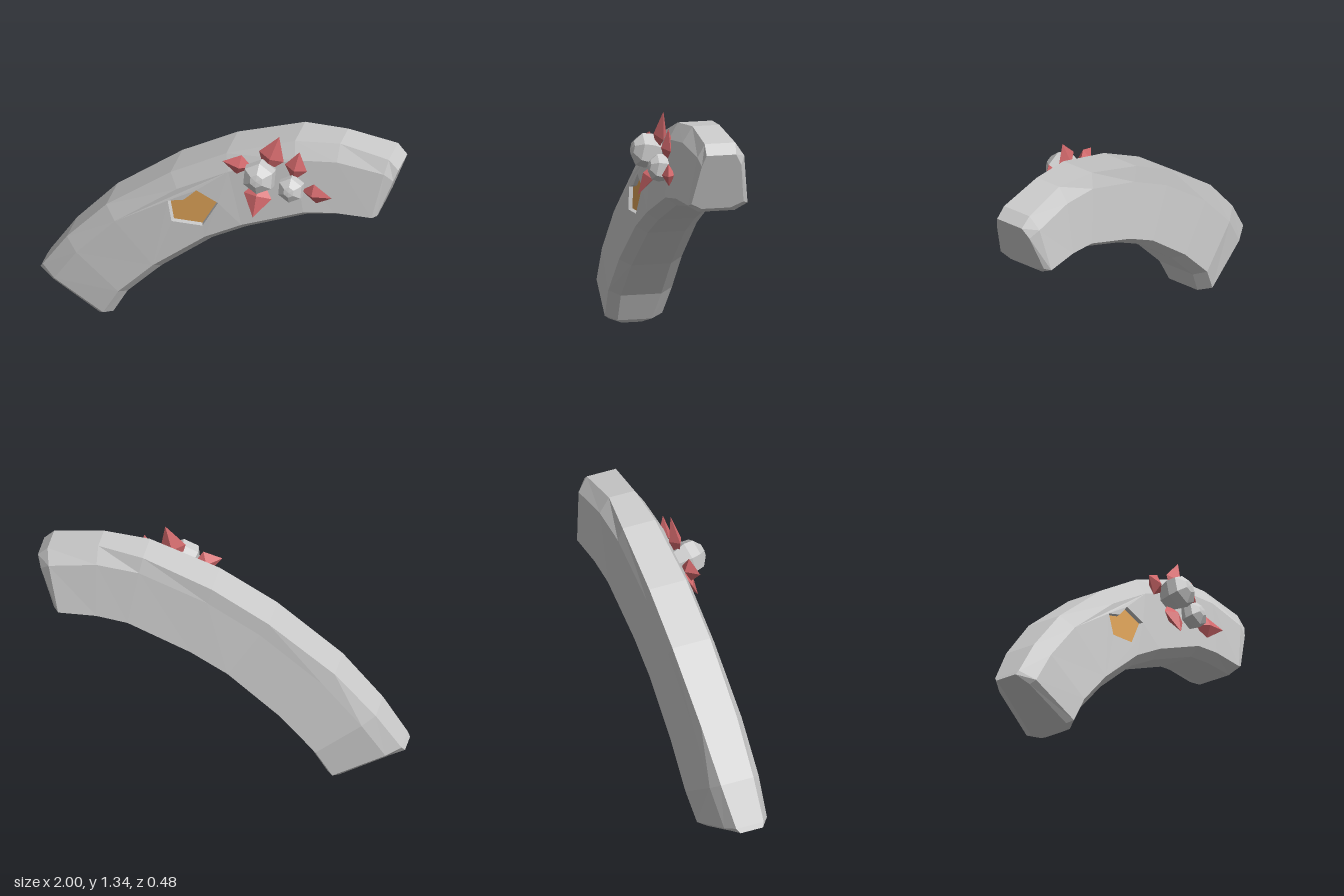
import * as THREE from 'three';

const stone = new THREE.MeshStandardMaterial({ color: 0xcbcbcb });
stone.name = 'pale stone';
const red = new THREE.MeshStandardMaterial({ color: 0xd46a6d });
red.name = 'petal red';
const amber = new THREE.MeshStandardMaterial({ color: 0xdda258 });
amber.name = 'amber';

// Faceted mesh from a list of triangle corners
function facets(name, points, material) {
  const geo = new THREE.BufferGeometry().setFromPoints(points);
  geo.computeVertexNormals();
  const mesh = new THREE.Mesh(geo, material);
  mesh.name = name;
  return mesh;
}

// Triangles facing +z that fill an outline, minus an optional hole
function fill(outline, hole = []) {
  const all = [...outline, ...hole];
  const flat = (list) => list.map((p) => new THREE.Vector2(p.x, p.y));
  const faces = THREE.ShapeUtils.triangulateShape(flat(outline), hole.length ? [flat(hole)] : []);
  return faces.flatMap(([a, b, c]) => {
    const [p, q, r] = [all[a], all[b], all[c]];
    const area = (q.x - p.x) * (r.y - p.y) - (q.y - p.y) * (r.x - p.x);
    return area > 0 ? [p, q, r] : [p, r, q];
  });
}

// Stations along the arch: outer x, y, inner x, y, front z, back z, outer front z, outer back z
const stations = [
  [-1.0, 0.2, -0.61, 0.0, 0.10, -0.14, 0.03, -0.1],
  [-0.985, 0.225, -0.58, 0.02, 0.13, -0.19, 0.04, -0.12],
  [-0.85, 0.43, -0.5, 0.17, 0.135, -0.22, 0.04, -0.15],
  [-0.63, 0.68, -0.31, 0.37, 0.13, -0.22, 0.04, -0.17],
  [-0.27, 0.96, -0.03, 0.6, 0.12, -0.22, 0.04, -0.18],
  [0.04, 1.14, 0.16, 0.705, 0.115, -0.22, 0.035, -0.18],
  [0.42, 1.285, 0.5, 0.85, 0.11, -0.225, 0.02, -0.17],
  [0.67, 1.31, 0.66, 0.875, 0.1, -0.23, 0.01, -0.14],
  [0.945, 1.265, 0.86, 0.88, 0.09, -0.24, 0.02, -0.15],
  [1.0, 1.21, 0.885, 0.9, 0.08, -0.21, 0.025, -0.14],
];

// Eight-sided bevelled cross-section, from the outer front edge round to the outer back edge
function section([ox, oy, ix, iy, zf, zb, of, ob]) {
  const at = (t, z) => new THREE.Vector3(ox + (ix - ox) * t, oy + (iy - oy) * t, z);
  return [
    at(0, of), at(0.2, zf - 0.035), at(0.9, zf), at(1, zf - 0.06),
    at(1, zb + 0.07), at(0.9, zb), at(0.2, zb + 0.035), at(0, ob),
  ];
}

function buildArch(group) {
  const rings = stations.map(section);
  const tris = [];
  for (let s = 0; s < rings.length - 1; s++) {
    for (let k = 0; k < 8; k++) {
      if (k === 1 && (s === 3 || s === 4)) continue; // left open for the pocketed panel
      const n = (k + 1) % 8;
      const [a, b, c, d] = [rings[s][k], rings[s][n], rings[s + 1][n], rings[s + 1][k]];
      tris.push(a, b, c, a, c, d);
    }
  }
  // End caps
  const first = rings[0], last = rings[rings.length - 1];
  for (let k = 1; k < 7; k++) {
    tris.push(first[0], first[k + 1], first[k]);
    tris.push(last[0], last[k], last[k + 1]);
  }

  // Front panel with a shallow pocket
  const rim = [
    [-0.27, 0.81], [-0.18, 0.835], [-0.11, 0.908], [0.015, 0.857], [-0.07, 0.7], [-0.245, 0.69],
  ].map(([x, y]) => new THREE.Vector3(x, y, 0.103 + 0.05 * (x + 0.13) - 0.085 * (y - 0.79)));
  const floor = rim.map((p) => new THREE.Vector3(
    p.x + (-0.13 - p.x) * 0.07, p.y + (0.79 - p.y) * 0.07, p.z - 0.02));
  const outline = [3, 4, 5].map((s) => rings[s][2]).concat([5, 4, 3].map((s) => rings[s][1]));
  tris.push(...fill(outline, rim));
  rim.forEach((p, i) => {
    const j = (i + 1) % rim.length;
    tris.push(p, floor[j], rim[j], p, floor[i], floor[j]);
  });
  group.add(facets('arch', tris, stone));
  group.add(facets('amberInlay', fill(floor), amber));
}

// Faceted solid of revolution laid along a direction
function crystal(name, profile, sides, material, origin, direction) {
  const lathe = new THREE.LatheGeometry(profile.map(([r, y]) => new THREE.Vector2(r, y)), sides);
  const geo = lathe.toNonIndexed();
  geo.computeVertexNormals();
  const mesh = new THREE.Mesh(geo, material);
  mesh.name = name;
  mesh.position.copy(origin);
  mesh.quaternion.setFromUnitVectors(new THREE.Vector3(0, 1, 0), direction.clone().normalize());
  return mesh;
}

// Six-sided flower centre with a blunt pointed cap
function flowerCentre(x, y, z, r) {
  const profile = [[0, -0.9], [0.75, -0.9], [1, -0.1], [0.93, 0.45], [0.4, 0.85], [0, 0.9]]
    .map(([a, b]) => [a * r, b * r]);
  return crystal('flowerCentre', profile, 6, stone,
    new THREE.Vector3(x, y, z), new THREE.Vector3(0.04, 0.22, 1));
}

// Four-sided double-pointed petal from its base to its tip
function petal(base, tip, width) {
  const from = new THREE.Vector3(...base);
  const along = new THREE.Vector3(...tip).sub(from);
  const len = along.length();
  const mesh = crystal('petal', [[0, 0], [1, len * 0.45], [0, len]], 4, red, from, along);
  // Local axes: wide across the arch face, thin through it
  const y = along.normalize();
  const x = new THREE.Vector3().crossVectors(y, new THREE.Vector3(0, 0, 1)).normalize();
  const z = new THREE.Vector3().crossVectors(x, y);
  mesh.quaternion.setFromRotationMatrix(new THREE.Matrix4().makeBasis(x, y, z));
  mesh.scale.set(width / 2, 1, 0.036);
  return mesh;
}

export function createModel() {
  const model = new THREE.Group();
  model.name = 'flowerArch';
  buildArch(model);

  const flowers = new THREE.Group();
  flowers.name = 'flowers';
  flowers.add(flowerCentre(0.262, 1.11, 0.15, 0.095));
  flowers.add(flowerCentre(0.43, 1.045, 0.12, 0.076));
  const petals = [
    [[0.275, 1.1, 0.095], [0.35, 1.335, 0.08], 0.145],
    [[0.2, 1.11, 0.08], [0.045, 1.145, 0.12], 0.13],
    [[0.253, 1.055, 0.085], [0.235, 0.862, 0.19], 0.155],
    [[0.428, 1.07, 0.085], [0.465, 1.262, 0.085], 0.125],
    [[0.475, 1.02, 0.085], [0.662, 1.038, 0.142], 0.12],
  ];
  for (const p of petals) flowers.add(petal(...p));
  model.add(flowers);
  return model;
}
